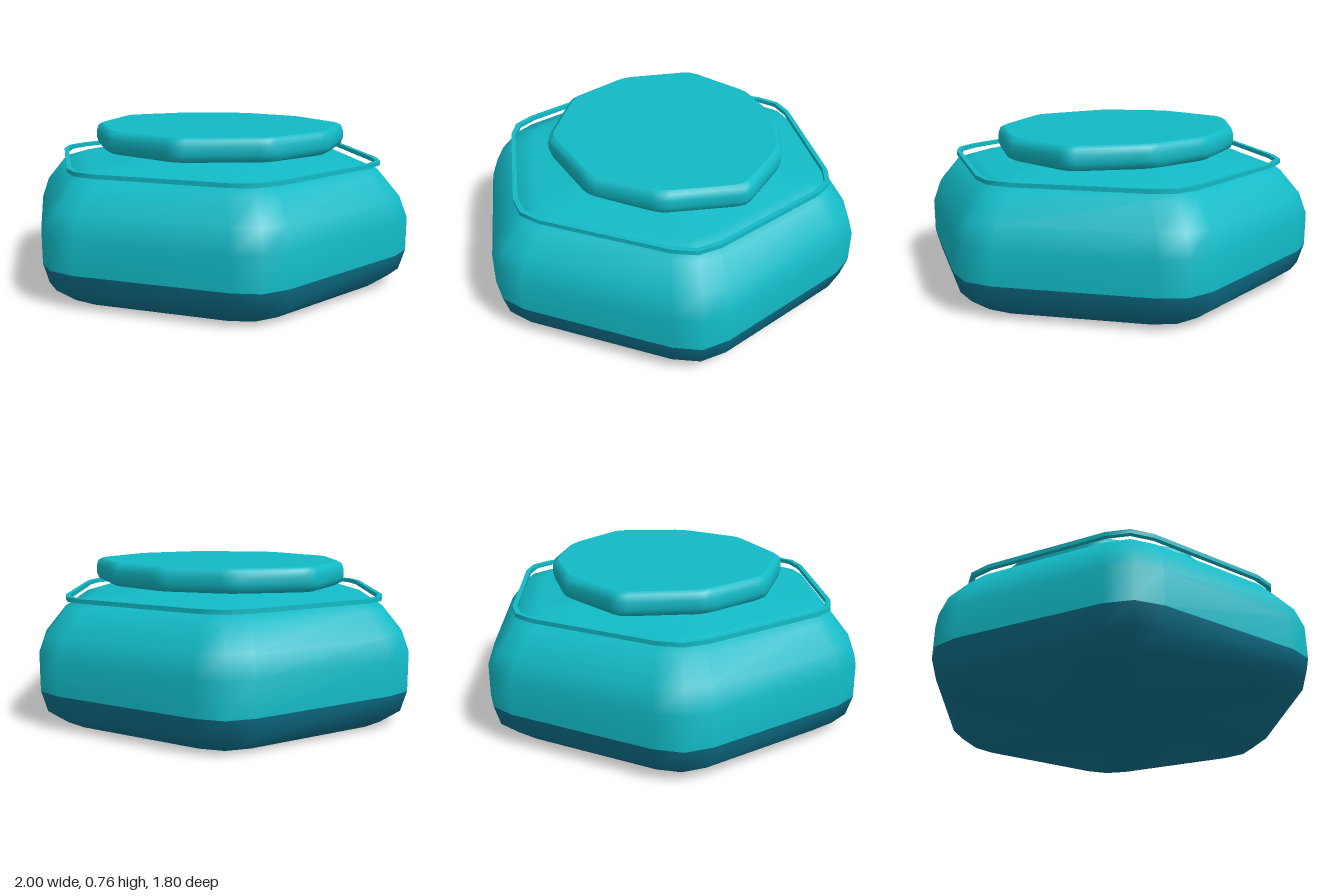
import * as THREE from 'three';

// Soften each corner of an [x, z] polygon with three points.
function softCorners(corners, cut) {
  const n = corners.length;
  const out = [];
  corners.forEach((c, i) => {
    const toward = (o) => {
      const d = Math.hypot(o[0] - c[0], o[1] - c[1]);
      return [c[0] + (o[0] - c[0]) * cut / d, c[1] + (o[1] - c[1]) * cut / d];
    };
    const a = toward(corners[(i + n - 1) % n]);
    const b = toward(corners[(i + 1) % n]);
    out.push(a, [(a[0] + 2 * c[0] + b[0]) / 4, (a[1] + 2 * c[1] + b[1]) / 4], b);
  });
  return out;
}

// Stack scaled copies of an outline; profile = [scale, y]. A repeated entry makes a crease.
function loft(outline, profile) {
  const n = outline.length;
  const pos = [];
  const idx = [];
  for (const [s, y] of profile) for (const [x, z] of outline) pos.push(x * s, y, z * s);
  for (let j = 0; j < profile.length - 1; j++) {
    for (let i = 0; i < n; i++) {
      const a = j * n + i;
      const b = j * n + (i + 1) % n;
      idx.push(a, a + n, b, b, a + n, b + n);
    }
  }
  const g = new THREE.BufferGeometry();
  g.setAttribute('position', new THREE.Float32BufferAttribute(pos, 3));
  g.setIndex(idx);
  g.computeVertexNormals();
  return g;
}

export function createModel() {
  const group = new THREE.Group();
  const teal = new THREE.MeshStandardMaterial({ color: 0x12bac6 });
  teal.name = 'teal';
  const deepBlue = new THREE.MeshStandardMaterial({ color: 0x0e7490 });
  deepBlue.name = 'deep blue';

  const add = (name, geometry, material) => {
    const mesh = new THREE.Mesh(geometry, material);
    mesh.name = name;
    group.add(mesh);
  };

  // Six-sided body outline
  const hexagon = [];
  for (let i = 0; i < 6; i++) {
    const a = i * Math.PI / 3;
    hexagon.push([1.037 * Math.cos(a), 1.037 * Math.sin(a)]);
  }
  const bodyOutline = softCorners(hexagon, 0.15);

  // Darker base below the seam
  add('base', loft(bodyOutline, [[0, 0], [0.87, 0], [0.97, 0.07], [1, 0.17]]), deepBlue);

  // Upper shell with rounded shoulder and shallow dome
  add('bodyShell', loft(bodyOutline, [
    [1, 0.17], [1, 0.335], [0.96, 0.44], [0.86, 0.555], [0.74, 0.59], [0.33, 0.64], [0, 0.64],
  ]), teal);

  // Thin trim ring floating around the shoulder
  const [inner, outer, low, high] = [0.833, 0.858, 0.589, 0.61];
  add('trimRing', loft(bodyOutline, [
    [inner, low], [outer, low], [outer, low], [outer, high],
    [outer, high], [inner, high], [inner, high], [inner, low],
  ]), teal);

  // Ten-sided lid, listed for one side and mirrored
  const half = [[0.635, -0.275], [0.625, 0.125], [0.415, 0.435]];
  const mirrored = half.map(([x, z]) => [-x, z]).reverse();
  const lidOutline = softCorners([
    ...half, [0, 0.59], ...mirrored, [-0.335, -0.525], [0, -0.602], [0.335, -0.525],
  ], 0.045);
  add('lid', loft(lidOutline, [
    [0, 0.645], [0.95, 0.645], [0.95, 0.645], [0.985, 0.657], [1, 0.685],
    [1, 0.72], [0.985, 0.748], [0.95, 0.76], [0.95, 0.76], [0, 0.76],
  ]), teal);

  return group;
}
